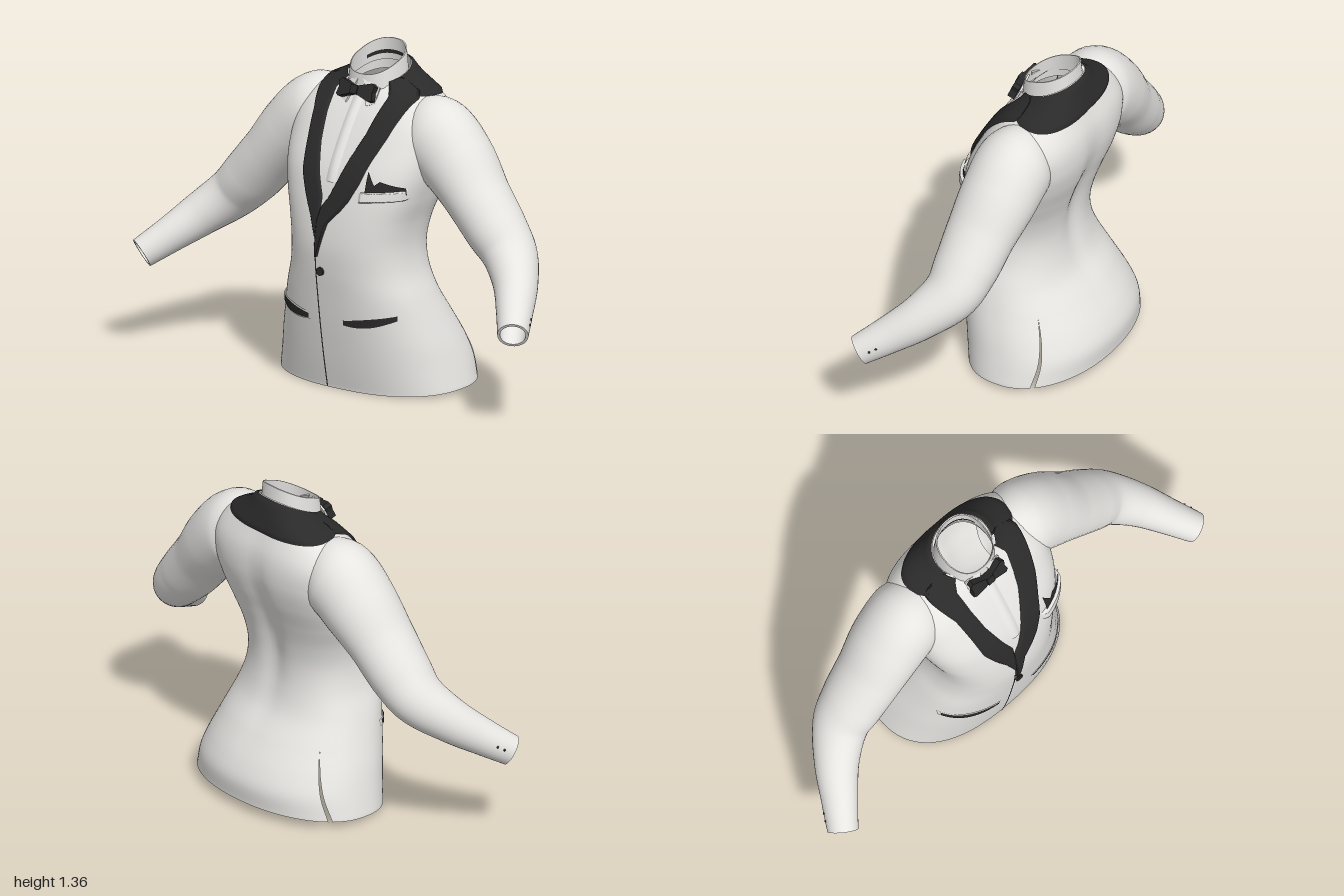
import * as THREE from 'three';

const mat = (name, color) => new THREE.MeshStandardMaterial({ name, color, side: THREE.DoubleSide });
const V = (x, y, z) => new THREE.Vector3(x, y, z);
const { lerp, clamp } = THREE.MathUtils;

// Torso sections: height, half width, front z, back z, tilt, front and back squareness
const SECTIONS = [
  [0.025, 0.432, 0.225, -0.335, 0.02, 2.4, 2.1],
  [0.12, 0.408, 0.245, -0.338, 0.01, 2.4, 2.1],
  [0.2, 0.385, 0.26, -0.31, 0, 2.4, 2.1],
  [0.3, 0.35, 0.275, -0.245, 0, 2.4, 2.2],
  [0.4, 0.315, 0.288, -0.175, 0, 2.4, 2.4],
  [0.5, 0.28, 0.3, -0.145, 0, 2.4, 2.5],
  [0.6, 0.268, 0.305, -0.14, 0, 2.5, 2.5],
  [0.7, 0.28, 0.295, -0.155, 0, 2.7, 2.6],
  [0.8, 0.31, 0.275, -0.185, 0, 2.8, 2.7],
  [0.9, 0.335, 0.245, -0.22, 0, 2.9, 2.8],
  [1.0, 0.345, 0.195, -0.24, 0, 3, 2.9],
  [1.1, 0.335, 0.135, -0.235, 0, 3, 2.8],
  [1.18, 0.275, 0.085, -0.205, 0.01, 2.5, 2.4],
  [1.235, 0.165, 0.06, -0.178, 0.03, 2.2, 2.2],
  [1.265, 0.125, 0.055, -0.157, 0.05, 2.1, 2.1],
];
const profile = new THREE.CubicInterpolant(
  SECTIONS.map(s => s[0]), SECTIONS.flatMap(s => s.slice(1)), 6, new Float32Array(6));

// Point on a tilted superellipse; angle 0 faces the front, growing toward +x
function ringPoint(a, y, w, zf, zb, tilt, nf, nb) {
  const c = Math.cos(a), n = c > 0 ? nf : nb;
  const pw = t => Math.sign(t) * Math.abs(t) ** (2 / n);
  return V(w * pw(Math.sin(a)), y - tilt * c, (zf + zb) / 2 + (zf - zb) / 2 * pw(c));
}
function torsoPoint(a, y) {
  const p = ringPoint(a, y, ...profile.evaluate(y));
  // Groove along the spine
  if (Math.cos(a) < 0) p.z += 0.025 * Math.exp(-((p.x / 0.06) ** 2) - ((y - 0.75) / 0.28) ** 2);
  return p;
}
function normalAt(fn, u, v, e = 1e-3) {
  const du = fn(u + e, v).sub(fn(u - e, v)), dv = fn(u, v + e).sub(fn(u, v - e));
  return du.cross(dv).normalize();
}
// Torso surface raised along its normal, addressed by angle or by front x
const raised = (a, y, off) => torsoPoint(a, y).addScaledVector(normalAt(torsoPoint, a, y), off);
function onFront(x, y, off) {
  const [w, , , , n] = profile.evaluate(y);
  const r = clamp(x / w, -0.98, 0.98);
  return raised(Math.asin(Math.sign(r) * Math.abs(r) ** (n / 2)), y, off);
}

// Smooth patch from a function of u and v in 0..1
function patch(name, material, nu, nv, fn) {
  const pos = [], nor = [], idx = [];
  for (let j = 0; j <= nv; j++) for (let i = 0; i <= nu; i++) {
    const u = i / nu, v = j / nv;
    pos.push(...fn(u, v).toArray());
    nor.push(...normalAt(fn, u, v).toArray());
    if (i < nu && j < nv) {
      const a = j * (nu + 1) + i, d = a + nu + 1;
      idx.push(a, a + 1, d, a + 1, d + 1, d);
    }
  }
  const g = new THREE.BufferGeometry();
  g.setAttribute('position', new THREE.Float32BufferAttribute(pos, 3));
  g.setAttribute('normal', new THREE.Float32BufferAttribute(nor, 3));
  g.setIndex(idx);
  const m = new THREE.Mesh(g, material);
  m.name = name;
  return m;
}
// Height that falls off to the cloth at the patch edges
const soft = (u, h) => 0.002 + h * clamp(12 * Math.min(u, 1 - u), 0, 1);

// Linear lookup in rows of [key, a, b]
function lookup(rows, k) {
  let i = 0;
  while (i < rows.length - 2 && k > rows[i + 1][0]) i++;
  const [p, q] = [rows[i], rows[i + 1]], t = (k - p[0]) / (q[0] - p[0]);
  return [lerp(p[1], q[1], t), lerp(p[2], q[2], t)];
}
// Lapel edges: height, lower x, higher x
const LEFT_LAPEL = [[0.56, -0.04, -0.032], [0.7, -0.04, 0.012], [0.76, -0.03, 0.07], [0.8, 0, 0.1],
  [0.87, 0.03, 0.135], [0.95, 0.06, 0.16], [1.05, 0.1, 0.2], [1.2, 0.13, 0.242], [1.262, 0.1, 0.125]];
const RIGHT_LAPEL = [[0.64, -0.045, -0.038], [0.72, -0.075, -0.03], [0.8, -0.12, -0.028], [0.88, -0.155, -0.06],
  [1.0, -0.175, -0.1], [1.1, -0.195, -0.12], [1.2, -0.242, -0.13], [1.262, -0.125, -0.1]];

// Sleeve path and its half height and half depth
const ARM = [[0.16, 1.065, -0.055, 0.115, 0.09], [0.3, 1.03, -0.045, 0.165, 0.158], [0.41, 0.945, -0.037, 0.15, 0.157],
  [0.52, 0.83, -0.022, 0.125, 0.143], [0.62, 0.72, -0.012, 0.118, 0.132], [0.7, 0.64, 0.005, 0.105, 0.117],
  [0.8, 0.55, 0.088, 0.088, 0.092], [0.88, 0.47, 0.192, 0.072, 0.075], [0.945, 0.405, 0.283, 0.062, 0.062]];
const armPath = new THREE.CatmullRomCurve3(ARM.map(a => V(a[0], a[1], a[2])));
const armSize = new THREE.CatmullRomCurve3(ARM.map(a => V(a[3], a[4], 0)));
function armPoint(side, u, t, scale = 1) {
  const a = 2 * Math.PI * (side > 0 ? u : 1 - u), T = armPath.getTangent(clamp(t, 0, 1));
  const D = V(0, 0, 1).addScaledVector(T, -T.z).normalize(), U = D.clone().cross(T);
  const s = armSize.getPoint(clamp(t, 0, 1)), p = armPath.getPoint(clamp(t, 0, 1));
  p.addScaledVector(T, t > 1 ? t - 1 : t < 0 ? t : 0);
  p.addScaledVector(U, Math.cos(a) * s.x * scale).addScaledVector(D, Math.sin(a) * s.y * scale);
  p.x *= side;
  return p;
}

export function createModel() {
  const cloth = mat('jacket cloth', 0xe6e5e2), shirt = mat('shirt white', 0xe5e4e2), black = mat('black satin', 0x2a2a2a);
  const root = new THREE.Group();
  root.name = 'dinnerJacket';
  const add = (...m) => root.add(...m);

  // Jacket front and back, parted below by two tapering vents
  const VTOP = 0.3;
  const vent = y => lerp(2.0, 2.2, clamp(y / VTOP, 0, 1));
  const gap = y => 0.03 * Math.max(0, (VTOP - y) / VTOP);
  add(patch('jacketFront', cloth, 64, 80, (u, v) => {
    const y = lerp(0.025, 1.265, v);
    return torsoPoint((2 * u - 1) * (vent(y) - gap(y)), y);
  }));
  add(patch('jacketBack', cloth, 36, 80, (u, v) => {
    const y = lerp(0.025, 1.265, v), s = vent(y) + gap(y);
    return torsoPoint(lerp(s, 2 * Math.PI - s, u), y);
  }));
  add(patch('frontOpening', black, 1, 30, (u, v) => onFront(lerp(-0.046, -0.04, u), lerp(0.03, 0.58, v), 0.003)));

  // Lapels and the collar round the neck
  for (const [name, rows, h] of [['leftLapel', LEFT_LAPEL, 0.012], ['rightLapel', RIGHT_LAPEL, 0.008]]) {
    add(patch(name, black, 12, 50, (u, v) => {
      const y = lerp(rows[0][0], 1.262, v), [a, b] = lookup(rows, y);
      return onFront(lerp(a, b, u), y, soft(u, h));
    }));
  }
  add(patch('backCollar', black, 40, 12, (u, v) =>
    raised(lerp(1.22, 2 * Math.PI - 1.22, u), lerp(1.172 + 0.028 * (2 * u - 1) ** 2, 1.263, v), soft(v, 0.008))));

  // Shirt front with its button placket
  const gapEdges = y => [lookup(RIGHT_LAPEL, y)[1], lookup(LEFT_LAPEL, y)[0]];
  add(patch('shirtFront', shirt, 12, 30, (u, v) => {
    const y = lerp(0.79, 1.24, v), [a, b] = gapEdges(y);
    return onFront(lerp(a, b, u), y, 0.002);
  }));
  add(patch('shirtPlacket', shirt, 12, 20, (u, v) =>
    onFront(lerp(-0.025, 0.025, u), lerp(0.86, 1.2, v), 0.002 + 0.008 * Math.sin(Math.PI * u))));

  // Standing shirt collar, lower at the throat, and the dark band inside it
  const neck = (a, v, s = 1) => ringPoint(a, lerp(1.2, 1.315, v), lerp(0.118, 0.107, v) * s,
    lerp(0.08, 0.07, v) * s, lerp(-0.157, -0.147, v) * s, lerp(0.035, 0.05, v), 2.3, 2.3);
  add(patch('shirtCollar', shirt, 48, 8, (u, v) => neck(u * 2 * Math.PI, v)));
  add(patch('collarLining', shirt, 48, 4, (u, v) => neck(u * 2 * Math.PI, lerp(1, 0.3, v), 0.96)));
  add(patch('collarRim', shirt, 48, 1, (u, v) => neck(u * 2 * Math.PI, 1, lerp(1, 0.96, v))));
  add(patch('collarBand', black, 24, 1, (u, v) => neck(lerp(2, 2 * Math.PI - 2, u), lerp(0.5, 0.62, v), 0.945)));

  const extrude = (pts, depth) => new THREE.ExtrudeGeometry(
    new THREE.Shape(pts.map(p => new THREE.Vector2(...p))), { depth, bevelEnabled: false });
  for (const s of [1, -1]) {
    // Folded collar points
    const wing = new THREE.Mesh(extrude([[0.01, 0.045], [0.09, 0.02], [0.085, -0.05], [0.05, -0.065]].map(([x, y]) => [x * s, y]), 0.008), shirt);
    wing.position.set(0, 1.21, 0.084);
    wing.rotation.set(-0.45, s * 0.25, 0);
    wing.name = 'collarPoint';
    add(wing);
  }

  // Bow tie
  const bow = new THREE.Group();
  bow.name = 'bowTie';
  for (const s of [1, -1]) {
    const wing = new THREE.Mesh(extrude([[0, 0.014], [0.03, 0.024], [0.07, 0.037], [0.086, 0.026], [0.08, 0],
      [0.088, -0.03], [0.074, -0.038], [0.03, -0.024], [0, -0.014]].map(([x, y]) => [x * s, y]), 0.03), black);
    wing.rotation.y = s * 0.12;
    wing.name = 'bowWing';
    bow.add(wing);
  }
  const knot = new THREE.Mesh(new THREE.BoxGeometry(0.034, 0.036, 0.036), black);
  knot.position.z = 0.016;
  knot.name = 'bowKnot';
  bow.add(knot);
  bow.position.set(0, 1.2, 0.088);
  bow.rotation.x = -0.4;
  add(bow);

  // Breast pocket welt with a folded square
  add(patch('breastPocket', cloth, 16, 12, (u, v) =>
    onFront(lerp(0.14, 0.305, u), lerp(0.8, 0.842, v) + 0.02 * u, soft(v, 0.02) * clamp(10 * Math.min(u, 1 - u), 0.1, 1))));
  add(patch('pocketSquare', black, 20, 6, (u, v) => {
    const top = lookup([[0, 0.925, 0], [0.25, 0.875, 0], [0.4, 0.892, 0], [1, 0.87, 0]], u)[0];
    return onFront(lerp(0.168, 0.3, u), lerp(0.842, top, v), 0.01);
  }));

  for (const s of [1, -1]) {
    // Hip pockets: piping outside, opening showing inside and out
    const hip = (x0, x1, h, off) => (u, v) => {
      const k = s > 0 ? u : 1 - u, x = lerp(x0, x1, k);
      const mid = 0.29 + 0.035 * k * k, half = h * (0.55 + 0.45 * Math.sin(Math.PI * k));
      return onFront(s * x - 0.012, mid + half * (2 * v - 1) + 0.01, off);
    };
    add(patch('hipPocketPiping', cloth, 20, 2, hip(0.082, 0.302, 0.025, 0.004)));
    add(patch('hipPocket', black, 20, 2, hip(0.088, 0.294, 0.018, 0.007)));
    add(patch('hipPocketInside', black, 20, 2, hip(0.088, 0.294, 0.018, -0.005)));

    // Sleeve with a hollow cuff
    add(patch('sleeve', cloth, 36, 56, (u, v) => armPoint(s, u, v)));
    add(patch('cuffRim', cloth, 36, 1, (u, v) => armPoint(s, u, 1, lerp(1, 0.82, v))));
    add(patch('cuffLining', cloth, 36, 6, (u, v) => armPoint(s, u, lerp(1, 0.8, v), 0.82)));
    for (const t of [0.925, 0.955]) {
      const stud = new THREE.Mesh(new THREE.SphereGeometry(0.005, 10, 8), black);
      stud.position.copy(armPoint(s, s > 0 ? 0.88 : 0.12, t));
      stud.name = 'cuffButton';
      add(stud);
    }
  }

  // Front button
  const button = new THREE.Mesh(new THREE.CylinderGeometry(0.017, 0.017, 0.01, 20), black);
  button.rotation.x = Math.PI / 2;
  button.position.copy(onFront(-0.02, 0.5, 0.004));
  button.name = 'frontButton';
  add(button);
  return root;
}
